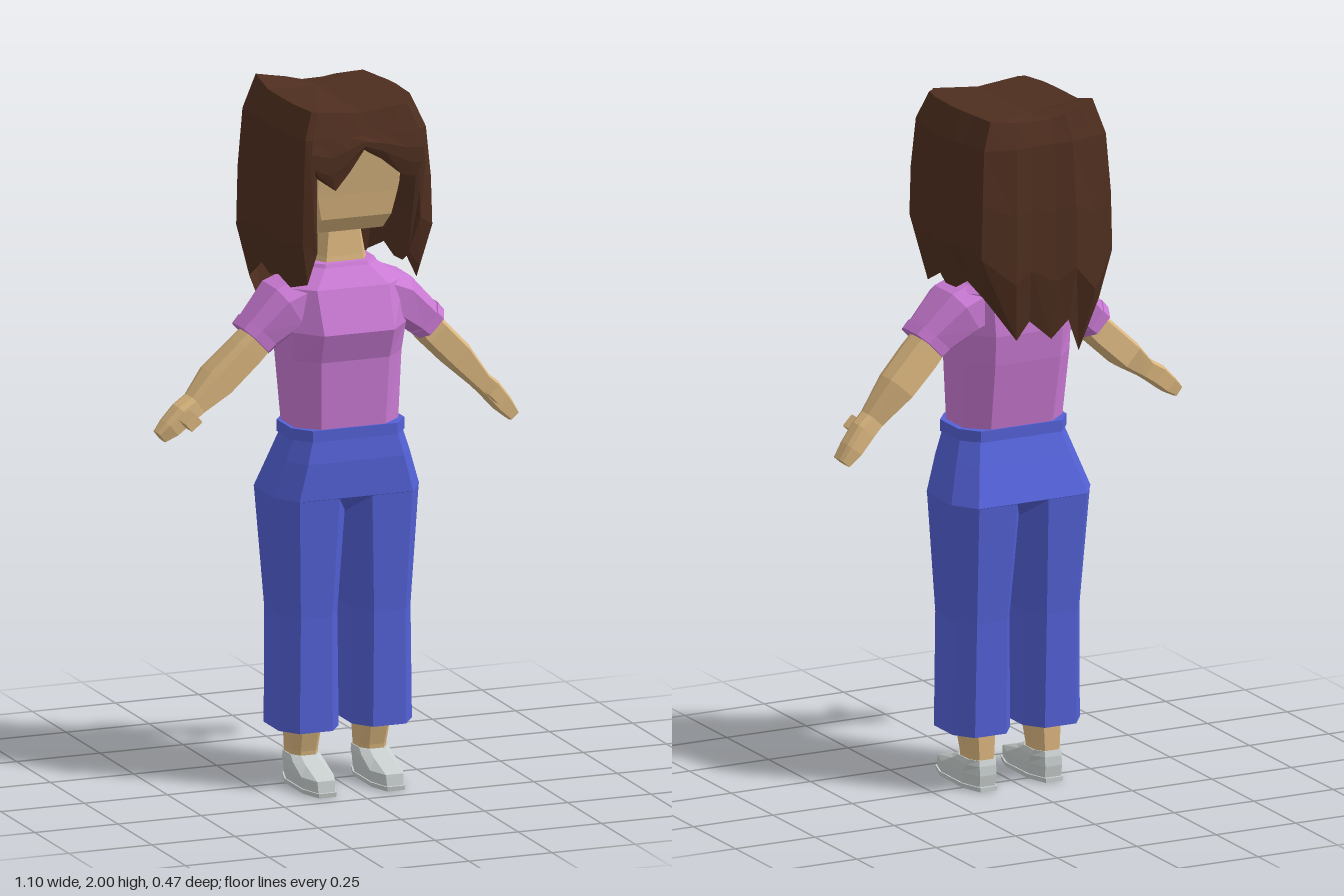
import * as THREE from 'three';

const mat = (name, color, extra = {}) => {
  const m = new THREE.MeshStandardMaterial({ color, flatShading: true, ...extra });
  m.name = name;
  return m;
};

// Eight-sided section in unit size, running from +x towards +z; c sets how wide the front face is
const section = (c) => [[1, -0.5], [1, 0.5], [c, 1], [-c, 1], [-1, 0.5], [-1, -0.5], [-c, -1], [c, -1]];

function geometry(pos, idx) {
  let g = new THREE.BufferGeometry();
  g.setAttribute('position', new THREE.Float32BufferAttribute(pos, 3));
  g.setIndex(idx);
  g = g.toNonIndexed();
  g.computeVertexNormals();
  return g;
}

// Closed loft; each station is [x, y, zBack, zFront, halfWidth].
// Limbs turn their sections to follow the path in the xy plane.
function loft(stations, { c = 0.55, followPath = false } = {}) {
  const pos = [], idx = [], profile = section(c), n = profile.length, last = stations.length - 1;
  stations.forEach(([x, y, z0, z1, w], i) => {
    let ux = 1, uy = 0;
    if (followPath) {
      const a = stations[Math.max(i - 1, 0)], b = stations[Math.min(i + 1, last)];
      const dx = b[0] - a[0], dy = b[1] - a[1], l = Math.hypot(dx, dy);
      ux = dy / l;
      uy = -dx / l;
    }
    for (const [px, pz] of profile) {
      pos.push(x + ux * w * px, y + uy * w * px, (z0 + z1) / 2 + pz * (z1 - z0) / 2);
    }
  });
  for (let i = 0; i < last; i++) {
    for (let j = 0; j < n; j++) {
      const k = (j + 1) % n, a = i * n + j, b = i * n + k;
      idx.push(a, a + n, b, b, a + n, b + n);
    }
  }
  for (let j = 1; j < n - 1; j++) {
    idx.push(0, j, j + 1, last * n, last * n + j + 1, last * n + j);
  }
  return geometry(pos, idx);
}

// Hair columns round the head: [x, z, y of the tip]
const HAIR = [
  [0.24, 0, 1.47], [0.238, 0.04, 1.49], [0.235, 0.13, 1.45], [0.215, 0.2, 1.5], [0.165, 0.235, 1.55],
  [0.18, 0.235, 1.77], [0.13, 0.235, 1.78], [0.06, 0.235, 1.83], [0, 0.235, 1.86], [-0.05, 0.235, 1.8],
  [-0.1, 0.235, 1.75], [-0.165, 0.235, 1.79], [-0.155, 0.235, 1.57], [-0.185, 0.225, 1.48],
  [-0.205, 0.13, 1.455], [-0.21, 0.04, 1.475], [-0.21, -0.03, 1.46], [-0.21, -0.1, 1.48],
  [-0.21, -0.205, 1.42], [-0.15, -0.22, 1.27], [-0.08, -0.24, 1.38], [-0.02, -0.235, 1.33],
  [0.06, -0.235, 1.39], [0.11, -0.24, 1.34], [0.21, -0.22, 1.46], [0.225, -0.12, 1.5], [0.235, -0.06, 1.47],
];

function hairGeometry() {
  const pos = [], idx = [], n = HAIR.length;
  const inset = (t) => (t > 1.7 ? 0.96 : t < 1.3 ? 0.72 : 0.88);
  const rows = [
    ([x, z]) => [x * 0.78, 1.96 + Math.abs(x) * (x < 0 && z < -0.15 ? 0.19 : 0.08), z * 0.85],
    ([x, z]) => [x * 0.93, 1.9, z * 0.95],
    ([x, z, t]) => [x * 0.98, t + (1.9 - t) * 0.65, z],
    ([x, z, t]) => [x, t + (1.9 - t) * 0.3, z],
    ([x, z, t]) => [x * 0.86, t, z * inset(t)],
  ];
  rows.forEach((row) => HAIR.forEach((c) => pos.push(...row(c))));
  for (let i = 0; i < rows.length - 1; i++) {
    for (let j = 0; j < n; j++) {
      const k = (j + 1) % n, a = i * n + j, b = i * n + k;
      idx.push(a, b, a + n, b, b + n, a + n);
    }
  }
  // Crown
  const centre = pos.length / 3;
  pos.push(0, 1.965, -0.12);
  for (let j = 0; j < n; j++) idx.push(centre, (j + 1) % n, j);
  return geometry(pos, idx);
}

export function createModel() {
  const model = new THREE.Group();
  model.name = 'woman';
  const skin = mat('skin', 0xdab67f);
  const shirt = mat('pink shirt', 0xca7ad4);
  const denim = mat('blue trousers', 0x5361d6);
  const shoe = mat('pale grey shoes', 0xc8cfce);
  const brown = mat('brown hair', 0x4e2e1f, { side: THREE.DoubleSide });

  const add = (name, geo, material) => {
    const mesh = new THREE.Mesh(geo, material);
    mesh.name = name;
    model.add(mesh);
    return mesh;
  };

  // Head and neck
  add('head', loft([
    [0.005, 1.605, -0.12, 0.12, 0.125], [0.005, 1.65, -0.16, 0.155, 0.14], [0.005, 1.72, -0.18, 0.165, 0.16],
    [0.005, 1.86, -0.18, 0.19, 0.165], [0.005, 1.93, -0.15, 0.16, 0.13],
  ], { c: 0.75 }), skin);
  add('neck', loft([[0.005, 1.46, -0.05, 0.08, 0.085], [0.005, 1.52, -0.05, 0.07, 0.072],
    [0.005, 1.63, -0.06, 0.06, 0.055]], { c: 0.75 }), skin);
  add('hair', hairGeometry(), brown);

  // Shirt body and collar
  add('shirt', loft([
    [0, 1.03, -0.06, 0.145, 0.155], [0, 1.24, -0.1, 0.16, 0.165], [0, 1.325, -0.11, 0.192, 0.17],
    [0, 1.445, -0.1, 0.145, 0.175], [0, 1.495, -0.065, 0.1, 0.105],
  ], { c: 0.62 }), shirt);
  add('collar', loft([[0, 1.485, -0.07, 0.105, 0.11], [0, 1.505, -0.065, 0.095, 0.1]], { c: 0.62 }), shirt);

  // Waistband, and hips closing to a wedge between the legs
  add('waistband', loft([[0.003, 1.012, -0.068, 0.152, 0.17], [0.003, 1.045, -0.068, 0.152, 0.17]], { c: 0.75 }), denim);
  add('hips', loft([
    [0.005, 0.77, -0.04, 0.05, 0.03], [0.005, 0.845, -0.142, 0.155, 0.219],
    [0.005, 0.95, -0.095, 0.155, 0.185], [0.005, 1.03, -0.06, 0.145, 0.158],
  ], { c: 0.78 }), denim);

  // Paired parts
  for (const s of [-1, 1]) {
    const side = s > 0 ? 'left' : 'right';
    const cx = 0.007 + s * 0.11;
    add(side + 'TrouserLeg', loft([
      [cx, 0.17, -0.1, 0.125, 0.09], [cx, 0.5, -0.108, 0.127, 0.086],
      [0.005 + s * 0.109, 0.845, -0.14, 0.153, 0.109],
    ]), denim);
    const ax = 0.004 + s * 0.103;
    add(side + 'Ankle', loft([[ax, 0.06, -0.055, 0.05, 0.04], [ax, 0.1, -0.055, 0.055, 0.04],
      [ax, 0.22, -0.055, 0.09, 0.05]]), skin);
    add(side + 'Sole', loft([[ax, 0, -0.07, 0.198, 0.047], [ax, 0.013, -0.07, 0.2, 0.049]]), shoe);
    add(side + 'Shoe', loft([
      [ax, 0.012, -0.062, 0.192, 0.045], [ax, 0.045, -0.066, 0.188, 0.048],
      [ax, 0.072, -0.064, 0.1, 0.047], [ax, 0.088, -0.058, 0.06, 0.043],
    ]), shoe);

    // Sleeve with a slightly flared cuff
    const o = s > 0 ? 0.006 : 0;
    add(side + 'Sleeve', loft([
      [s * 0.08, 1.415, -0.08, 0.125, 0.07], [s * 0.165, 1.383, -0.085, 0.13, 0.07],
      [s * 0.245 + o, 1.312, -0.057, 0.108, 0.052],
    ], { followPath: true }), shirt);
    add(side + 'Cuff', loft([[s * 0.24 + o, 1.317, -0.06, 0.112, 0.056],
      [s * 0.261 + o, 1.297, -0.058, 0.11, 0.053]], { followPath: true }), shirt);
  }

  // Arms and hands, each in its own pose
  const limb = { c: 0.75, followPath: true };
  add('leftArm', loft([
    [0.24, 1.315, -0.042, 0.068, 0.04], [0.285, 1.265, -0.045, 0.07, 0.043], [0.36, 1.19, -0.05, 0.058, 0.042],
    [0.435, 1.105, -0.028, 0.042, 0.028], [0.465, 1.078, -0.032, 0.035, 0.03],
    [0.505, 1.03, -0.035, 0.03, 0.027], [0.535, 0.995, -0.03, 0.025, 0.018],
  ], limb), skin);
  add('rightArm', loft([
    [-0.23, 1.315, -0.02, 0.09, 0.04], [-0.28, 1.265, -0.025, 0.09, 0.043], [-0.365, 1.185, -0.038, 0.088, 0.042],
    [-0.435, 1.13, -0.002, 0.086, 0.028], [-0.475, 1.105, 0.008, 0.09, 0.03],
    [-0.515, 1.07, 0.015, 0.088, 0.026], [-0.545, 1.047, 0.028, 0.078, 0.018],
  ], limb), skin);

  // Thumbs
  for (const [name, x, y, z, turn] of [['leftThumb', 0.46, 1.075, 0.055, -0.8], ['rightThumb', -0.477, 1.1, 0.11, 0.7]]) {
    const thumb = add(name, new THREE.BoxGeometry(0.04, 0.032, 0.06), skin);
    thumb.position.set(x, y, z);
    thumb.rotation.z = turn;
  }
  return model;
}
